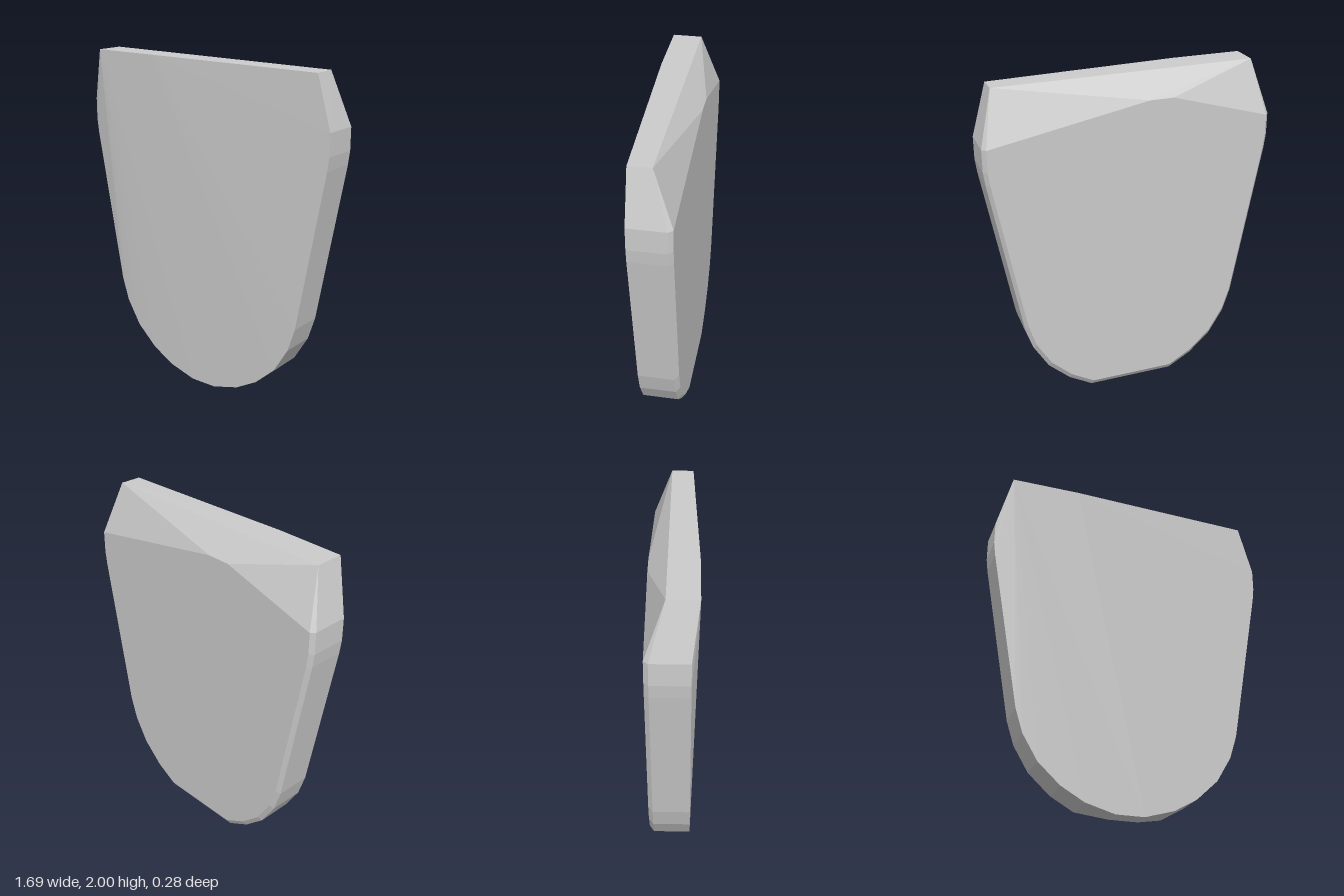
import * as THREE from 'three';
import { ConvexGeometry } from 'three/addons/geometries/ConvexGeometry.js';

const FRONT = 0.097, RIM = -0.115, BACK = -0.14;

// Half outline of the plate, from the rounded foot up to the shoulder
const SIDE = [
  [0.26, 0.05], [0.40, 0.13], [0.53, 0.25], [0.62, 0.40], [0.665, 0.54],
  [0.835, 1.48], [0.845, 1.56], [0.845, 1.69],
];

export function createModel() {
  const group = new THREE.Group();
  const points = [];
  const add = (x, y, z) => points.push(new THREE.Vector3(x, y, z));

  for (const s of [-1, 1]) {
    // Straight side wall, then a narrow bevel in to the back face
    for (const [x, y] of SIDE) {
      add(s * x, y, FRONT);
      add(s * x, y, RIM);
      add(s * x * 0.975, y + (1.69 - y) * 0.022, BACK);
    }
    // Foot, cut away towards the back
    add(s * 0.085, 0, FRONT);
    add(s * 0.085, 0, -0.02);
    // Back edge of the top, where the sloping cut begins
    add(s * 0.76, s < 0 ? 2 : 1.992, -0.03);
  }

  // Front edge of the top, thicker towards the right
  add(-0.76, 2, 0.137);
  add(-0.35, 2, 0.136);
  add(0.76, 1.99, FRONT);

  // Off-centre peak of the flat back face
  add(-0.24, 1.86, BACK);
  add(-0.10, 1.86, BACK);

  const plate = new THREE.Mesh(
    new ConvexGeometry(points),
    new THREE.MeshStandardMaterial({ color: 0xcccccc, flatShading: true }),
  );
  plate.name = 'bevelledPlate';
  group.add(plate);
  return group;
}
